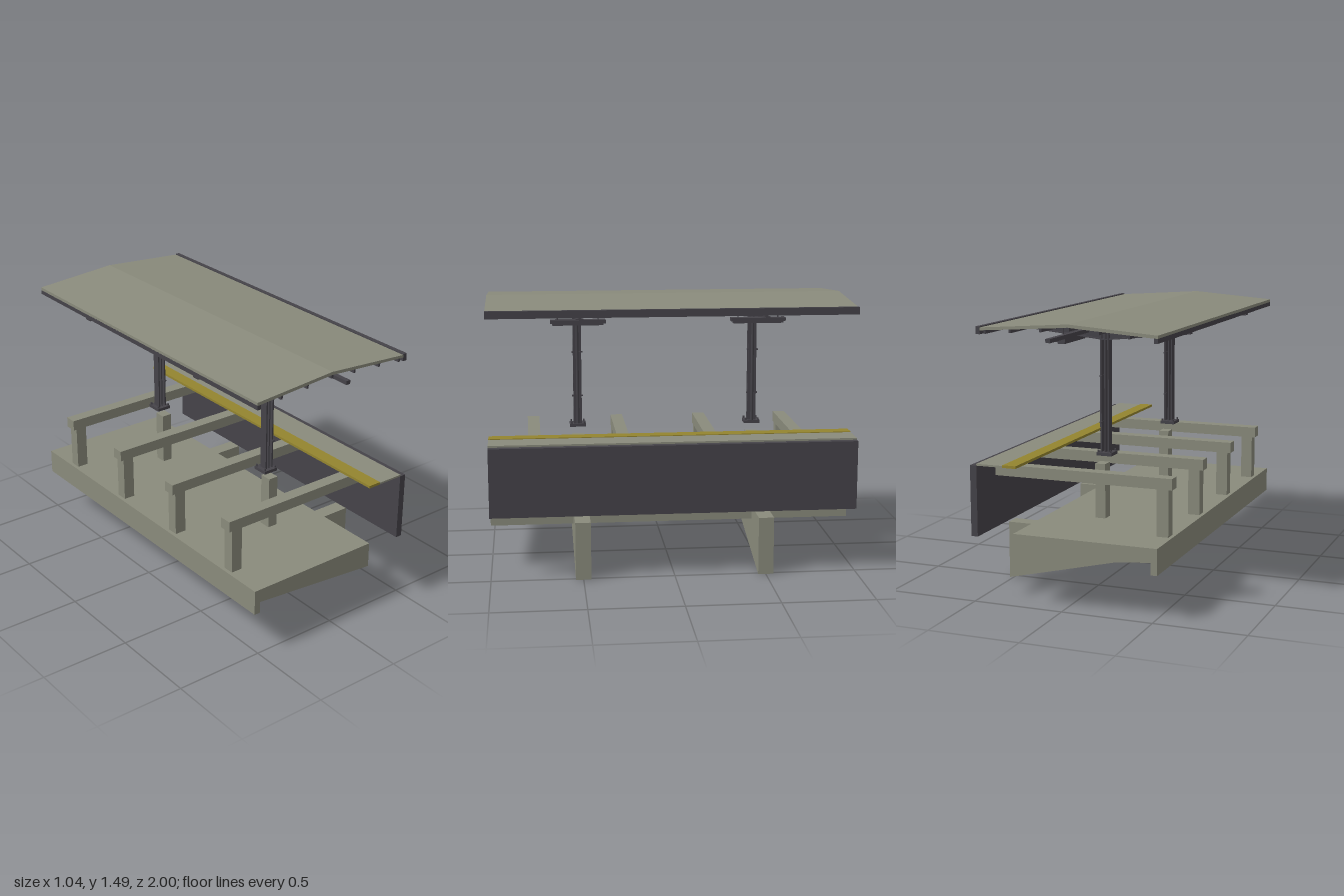
import * as THREE from 'three';

const mat = (name, color) => Object.assign(new THREE.MeshStandardMaterial({ color }), { name });

export function createModel() {
  const concrete = mat('concrete', 0x8a8b7c);
  const steel = mat('dark steel', 0x454349);
  const yellow = mat('safety yellow', 0x94852f);
  const model = new THREE.Group();
  model.name = 'stationPlatform';

  // box given by its limits on each axis
  const box = (name, m, [x0, x1], [y0, y1], [z0, z1], parent = model) => {
    const mesh = new THREE.Mesh(new THREE.BoxGeometry(x1 - x0, y1 - y0, z1 - z0), m);
    mesh.position.set((x0 + x1) / 2, (y0 + y1) / 2, (z0 + z1) / 2);
    mesh.name = name;
    parent.add(mesh);
    return mesh;
  };
  // x-y profile extruded along z, centred on z
  const prism = (name, m, pts, depth, z = 0, parent = model) => {
    const shape = new THREE.Shape(pts.map(([x, y]) => new THREE.Vector2(x, y)));
    const geo = new THREE.ExtrudeGeometry(shape, { depth, bevelEnabled: false });
    const mesh = new THREE.Mesh(geo, m);
    mesh.position.z = z - depth / 2;
    mesh.name = name;
    parent.add(mesh);
    return mesh;
  };
  const full = [-1, 1];
  const around = (z, half) => [z - half, z + half];

  // lower deck with a lip at its back edge
  prism('lowerSlab', concrete, [[-0.525, 0.25], [-0.49, 0.25], [-0.49, 0.315],
    [0.27, 0.247], [0.27, 0.39], [-0.525, 0.39]], 2);

  // cantilever ribs under the deck
  for (const z of [-0.5, 0.5]) {
    prism('cantileverRib', concrete, [[-0.525, 0.25], [0.52, 0], [0.52, 0.32],
      [-0.5, 0.32], [-0.5, 0.26]], 0.084, z);
  }

  // cross beams on legs
  for (const z of [-0.75, -0.25, 0.25, 0.75]) {
    box('crossBeam', concrete, [-0.525, 0.475], [0.64, 0.7], around(z, 0.035));
    box('beamLeg', concrete, [-0.505, -0.44], [0.39, 0.64], around(z, 0.032));
  }

  // platform edge: facing wall, paving and warning strip
  box('edgeWall', steel, [0.475, 0.512], [0.355, 0.735], full);
  box('edgePaving', concrete, [0.325, 0.475], [0.735, 0.745], full);
  box('warningStrip', yellow, [0.25, 0.325], [0.735, 0.749], full);

  // canopy roof sheet, fascia and gutter
  prism('roof', concrete, [[-0.525, 1.438], [-0.05, 1.473], [0.44, 1.44],
    [0.44, 1.455], [-0.05, 1.49], [-0.525, 1.455]], 2);
  box('backFascia', steel, [-0.525, -0.505], [1.415, 1.44], full);
  box('gutter', steel, [0.438, 0.462], [1.42, 1.46], full);

  // purlins under the roof sheet
  const roofUnder = x => 1.473 - (x < -0.05 ? 0.0737 : 0.0673) * Math.abs(x + 0.05);
  for (const x of [-0.375, -0.21, -0.05, 0.1, 0.27, 0.41]) {
    const y = roofUnder(x);
    box('purlin', steel, [x - 0.006, x + 0.006], [y - 0.018, y + 0.001], full);
  }

  // service conduit running the whole length
  box('conduit', steel, [0.047, 0.073], [1.392, 1.413], full);

  // canopy frames
  for (const z of [-0.5, 0.5]) {
    const frame = new THREE.Group();
    frame.name = 'canopyFrame';
    model.add(frame);

    // concrete stub and base plate with bolts
    box('postStub', concrete, [-0.055, 0.003], [0.39, 0.69], around(z, 0.034), frame);
    box('basePlate', steel, [-0.095, -0.01], [0.737, 0.754], around(z, 0.045), frame);
    for (const x of [-0.087, -0.018]) {
      for (const s of [-1, 1]) {
        const bolt = new THREE.Mesh(new THREE.CylinderGeometry(0.005, 0.005, 0.03, 6), steel);
        bolt.name = 'bolt';
        bolt.position.set(x, 0.752, z + s * 0.036);
        frame.add(bolt);
      }
    }

    // post of parallel plates with a drainpipe
    box('postPlate', steel, [-0.073, -0.065], [0.75, 1.45], around(z, 0.023), frame);
    box('postWeb', steel, [-0.054, -0.047], [0.75, 1.45], around(z, 0.023), frame);
    box('postPlate', steel, [-0.032, -0.024], [0.75, 1.45], around(z, 0.023), frame);
    const pipe = new THREE.Mesh(new THREE.CylinderGeometry(0.008, 0.008, 0.69, 12), steel);
    pipe.name = 'drainpipe';
    pipe.position.set(-0.022, 1.095, z);
    frame.add(pipe);
    for (const y of [0.915, 1.165]) {
      box('pipeBracket', steel, [-0.035, -0.022], [y - 0.004, y + 0.004], around(z, 0.031), frame);
    }

    // tapered roof arm: web with top and bottom flanges
    prism('armWeb', steel, [[-0.525, 1.407], [-0.05, 1.356], [0.435, 1.407],
      [0.435, 1.428], [-0.05, 1.457], [-0.525, 1.428]], 0.014, z, frame);
    prism('armTopFlange', steel, [[-0.525, 1.422], [-0.05, 1.451], [0.435, 1.422],
      [0.435, 1.428], [-0.05, 1.457], [-0.525, 1.428]], 0.04, z, frame);
    prism('armBottomFlange', steel, [[-0.525, 1.407], [-0.05, 1.356], [0.435, 1.407],
      [0.435, 1.413], [-0.05, 1.362], [-0.525, 1.413]], 0.04, z, frame);

    // hanging lamp
    box('lampHousing', steel, [0.12, 0.175], [1.352, 1.371], around(z, 0.152), frame);
    box('lampLens', steel, [0.13, 0.168], [1.341, 1.352], around(z, 0.14), frame);
    for (const s of [-1, 1]) {
      box('lampHanger', steel, [0.145, 0.151], [1.37, 1.455], around(z + s * 0.112, 0.003), frame);
    }
  }
  return model;
}
